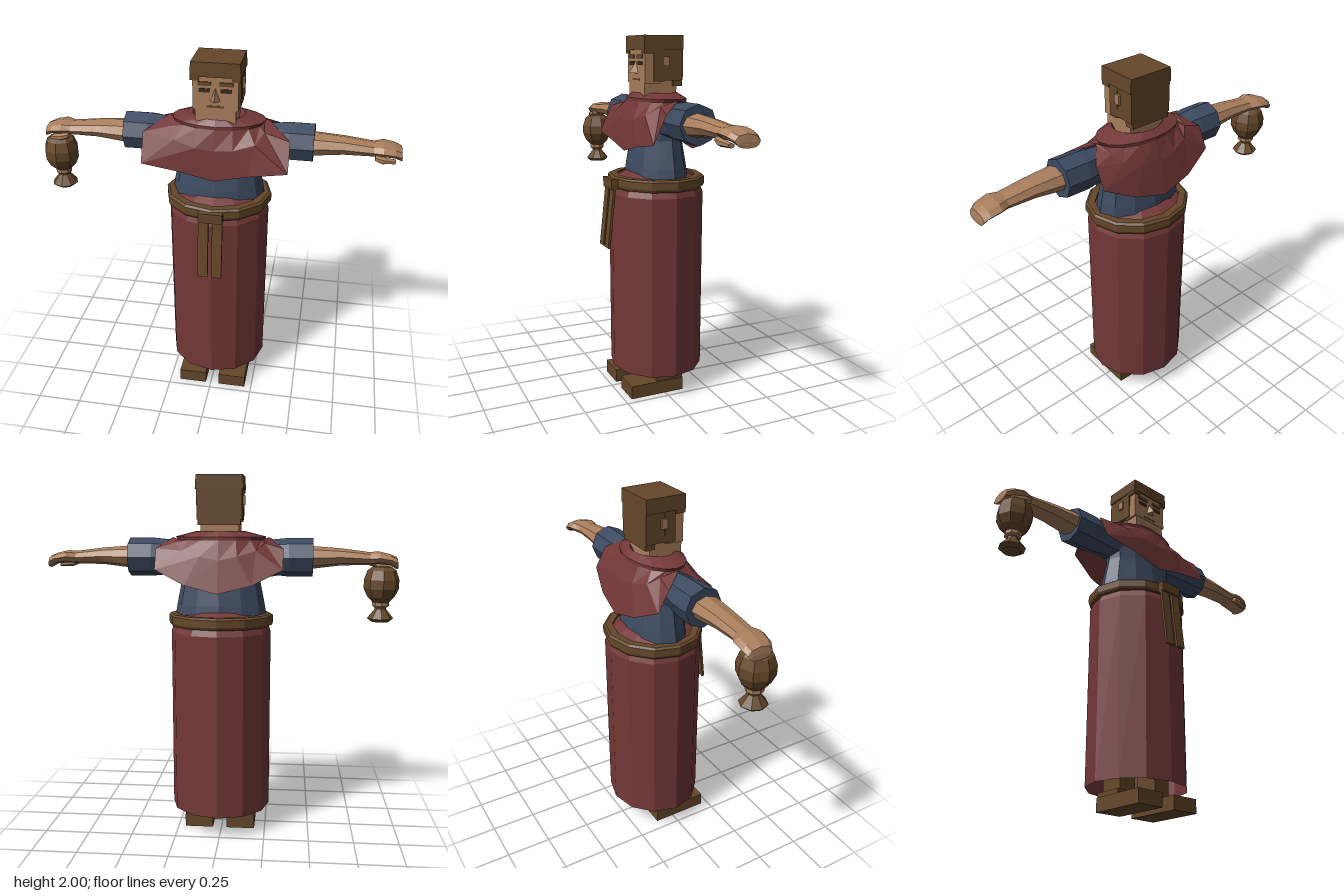
import * as THREE from 'three';

const mat = (name, color, side = THREE.FrontSide) => {
  const m = new THREE.MeshStandardMaterial({ color, side });
  m.name = name;
  return m;
};

// Flat-faced skin over rings of [x, y, z] points, with optional end caps
function loft(rings, cap = true) {
  const n = rings[0].length, pos = [];
  const tri = (a, b, c) => pos.push(...a, ...b, ...c);
  for (let i = 0; i < rings.length - 1; i++) {
    for (let j = 0; j < n; j++) {
      const k = (j + 1) % n, lo = rings[i], hi = rings[i + 1];
      tri(lo[j], lo[k], hi[k]);
      tri(lo[j], hi[k], hi[j]);
    }
  }
  if (cap) {
    const a = rings[0], b = rings[rings.length - 1];
    for (let j = 1; j < n - 1; j++) {
      tri(a[0], a[j + 1], a[j]);
      tri(b[0], b[j], b[j + 1]);
    }
  }
  const g = new THREE.BufferGeometry();
  g.setAttribute('position', new THREE.Float32BufferAttribute(pos, 3));
  g.computeVertexNormals();
  return g;
}

const angles = n => Array.from({ length: n }, (_, j) => (j / n) * Math.PI * 2);
// Horizontal oval ring
const oval = (y, rx, rz, cz = -0.025, n = 12, cx = 0) =>
  angles(n).map(a => [cx + rx * Math.sin(a), y, cz + rz * Math.cos(a)]);
// Upright oval ring around the x axis
const hoop = (x, cy, cz, ry, rz, n = 8) =>
  angles(n).map(a => [x, cy + ry * Math.cos(a), cz + rz * Math.sin(a)]);
// Limb along x on the chosen side
const limb = (s, rows) => {
  const rings = rows.map(([x, ...r]) => hoop(s * x, ...r));
  return loft(s < 0 ? rings.reverse() : rings);
};

export function createModel() {
  const root = new THREE.Group();
  const body = new THREE.Group();
  body.name = 'figure';
  body.position.x = 0.01;
  root.add(body);

  const skin = mat('skin', 0xa97e5c);
  const brown = mat('brown', 0x65482a);
  const dark = mat('darkBrown', 0x3d2b1b);
  const red = mat('redCloth', 0x743838, THREE.DoubleSide);
  const blue = mat('blueCloth', 0x3d4b62);

  const add = (name, geo, m, parent = body) => {
    const mesh = new THREE.Mesh(geo, m);
    mesh.name = name;
    parent.add(mesh);
    return mesh;
  };
  // Box given by its limits
  const box = (name, m, x0, x1, y0, y1, z0, z1) => {
    const mesh = add(name, new THREE.BoxGeometry(x1 - x0, y1 - y0, z1 - z0), m);
    mesh.position.set((x0 + x1) / 2, (y0 + y1) / 2, (z0 + z1) / 2);
    return mesh;
  };

  // Long skirt, open below, and the gathered cloth above the belt
  add('skirt', loft([
    oval(0.13, 0.28, 0.262), oval(1.15, 0.28, 0.262), oval(1.18, 0.268, 0.25), oval(1.21, 0.255, 0.238),
  ], false), red);
  add('skirtGather', loft([oval(1.2, 0.25, 0.235), oval(1.235, 0.24, 0.22), oval(1.275, 0.16, 0.14)]), red);

  // Belt ring with knot and two hanging ends
  add('belt', loft([
    oval(1.19, 0.24, 0.22), oval(1.185, 0.285, 0.26), oval(1.2, 0.293, 0.268),
    oval(1.24, 0.293, 0.268), oval(1.25, 0.28, 0.255), oval(1.25, 0.24, 0.215), oval(1.19, 0.24, 0.22),
  ], false), brown);
  box('beltKnot', brown, -0.065, 0.065, 1.185, 1.24, 0.225, 0.265);
  for (const x of [-0.038, 0.038]) {
    const end = add('beltEnd', new THREE.BoxGeometry(0.055, 0.37, 0.014), brown);
    end.position.set(x, 1.04, 0.263);
    end.rotation.x = -0.11;
  }

  // Shirt
  add('shirt', loft([
    oval(1.22, 0.258, 0.16), oval(1.3, 0.245, 0.15), oval(1.45, 0.215, 0.125),
    oval(1.6, 0.23, 0.115), oval(1.65, 0.18, 0.1),
  ]), blue);

  for (const s of [-1, 1]) {
    // Sleeve, forearm with curled hand, thumb
    add('sleeve', limb(s, [
      [0.14, 1.55, -0.03, 0.09, 0.085], [0.27, 1.56, -0.03, 0.095, 0.085],
      [0.375, 1.56, -0.03, 0.105, 0.105], [0.505, 1.56, -0.03, 0.105, 0.105],
    ]), blue);
    add('forearmAndHand', limb(s, [
      [0.45, 1.56, -0.02, 0.062, 0.082], [0.52, 1.56, -0.02, 0.06, 0.08],
      [0.66, 1.563, -0.02, 0.046, 0.07], [0.81, 1.555, -0.02, 0.035, 0.063],
      [0.86, 1.56, -0.025, 0.034, 0.085], [0.92, 1.55, -0.03, 0.03, 0.08],
      [0.955, 1.533, -0.035, 0.032, 0.066], [0.96, 1.515, -0.035, 0.015, 0.055],
    ]), skin);
    add('thumb', limb(s, [
      [0.82, 1.53, 0.04, 0.015, 0.02, 6], [0.86, 1.52, 0.045, 0.02, 0.022, 6], [0.925, 1.512, 0.03, 0.012, 0.018, 6],
    ]), skin);

    // Shoe and ankle
    const cx = s * 0.12;
    box('sole', brown, cx - 0.08, cx + 0.08, 0, 0.075, -0.11, 0.21);
    box('shoeHeel', brown, cx - 0.073, cx + 0.073, 0.07, 0.1, -0.11, 0.05);
    box('ankle', brown, cx - 0.05, cx + 0.05, 0.09, 0.3, -0.095, 0.04);
  }

  // Shoulder cape: half outlines from front centre round to back centre
  const mirrorRing = half => [...half, ...half.slice(1, -1).reverse().map(([x, y, z]) => [-x, y, z])];
  const hem = mirrorRing([
    [0, 1.385, 0.165], [0.18, 1.425, 0.165], [0.387, 1.455, 0.16], [0.387, 1.605, 0.09], [0.27, 1.665, -0.03],
    [0.345, 1.61, -0.13], [0.345, 1.5, -0.19], [0.18, 1.42, -0.235], [0, 1.375, -0.255],
  ]);
  const chest = mirrorRing([
    [0, 1.55, 0.15], [0.1, 1.56, 0.15], [0.21, 1.59, 0.13], [0.25, 1.635, 0.06], [0.265, 1.668, -0.03],
    [0.245, 1.64, -0.12], [0.2, 1.6, -0.17], [0.1, 1.57, -0.2], [0, 1.55, -0.21],
  ]);
  add('cape', loft([
    hem, chest, oval(1.655, 0.24, 0.145, -0.025, 16), oval(1.672, 0.25, 0.145, -0.025, 16),
    oval(1.7, 0.14, 0.115, -0.02, 16), oval(1.67, 0.11, 0.1, -0.015, 16),
  ], false), red);

  // Head and hair
  box('neckAndJaw', skin, -0.105, 0.105, 1.64, 1.93, -0.1, 0.088);
  box('face', skin, -0.117, 0.117, 1.75, 1.94, 0, 0.09);
  const taper = box('hairTop', brown, -0.13, 0.13, 1.925, 2, -0.13, 0.097);
  const p = taper.geometry.attributes.position;
  for (let i = 0; i < p.count; i++) if (p.getY(i) > 0) p.setX(i, p.getX(i) * 0.96);
  box('hairBack', brown, -0.122, 0.122, 1.765, 1.93, -0.13, -0.005);
  box('hairNape', brown, -0.115, 0.115, 1.735, 1.77, -0.13, -0.075);
  for (const s of [-1, 1]) {
    const side = (name, m, x0, x1, ...r) => box(name, m, Math.min(s * x0, s * x1), Math.max(s * x0, s * x1), ...r);
    side('sideburn', brown, 0.1, 0.124, 1.76, 1.93, -0.02, 0.04);
    side('fringeLock', brown, 0.085, 0.128, 1.905, 1.93, 0.04, 0.096);
    side('ear', skin, 0.12, 0.134, 1.84, 1.89, -0.045, -0.01);
    side('eyebrow', brown, 0.022, 0.09, 1.88, 1.9, 0.088, 0.096);
    side('eye', dark, 0.027, 0.085, 1.845, 1.865, 0.088, 0.094);
  }
  box('mouth', brown, -0.045, 0.045, 1.765, 1.775, 0.086, 0.092);
  // Wedge nose
  add('nose', loft([
    [[-0.03, 1.8, 0.08], [0, 1.805, 0.132], [0.03, 1.8, 0.08]],
    [[-0.006, 1.865, 0.08], [0, 1.865, 0.094], [0.006, 1.865, 0.08]],
  ]), skin);

  // Tied pouch hanging from the right hand
  const pouch = new THREE.Group();
  pouch.name = 'pouch';
  pouch.position.set(-0.885, 0, 0.005);
  body.add(pouch);
  const turned = rows => loft(rows.map(([y, r]) => oval(y, r, r, 0, 8)));
  add('pouchBag', turned([[1.31, 0.04], [1.345, 0.075], [1.39, 0.096], [1.44, 0.096], [1.49, 0.078], [1.51, 0.05]]), brown, pouch);
  add('pouchCord', turned([[1.285, 0.035], [1.295, 0.046], [1.315, 0.046], [1.325, 0.035]]), skin, pouch);
  add('pouchFrill', turned([[1.207, 0.05], [1.225, 0.072], [1.275, 0.032], [1.3, 0.03]]), brown, pouch);

  return root;
}
